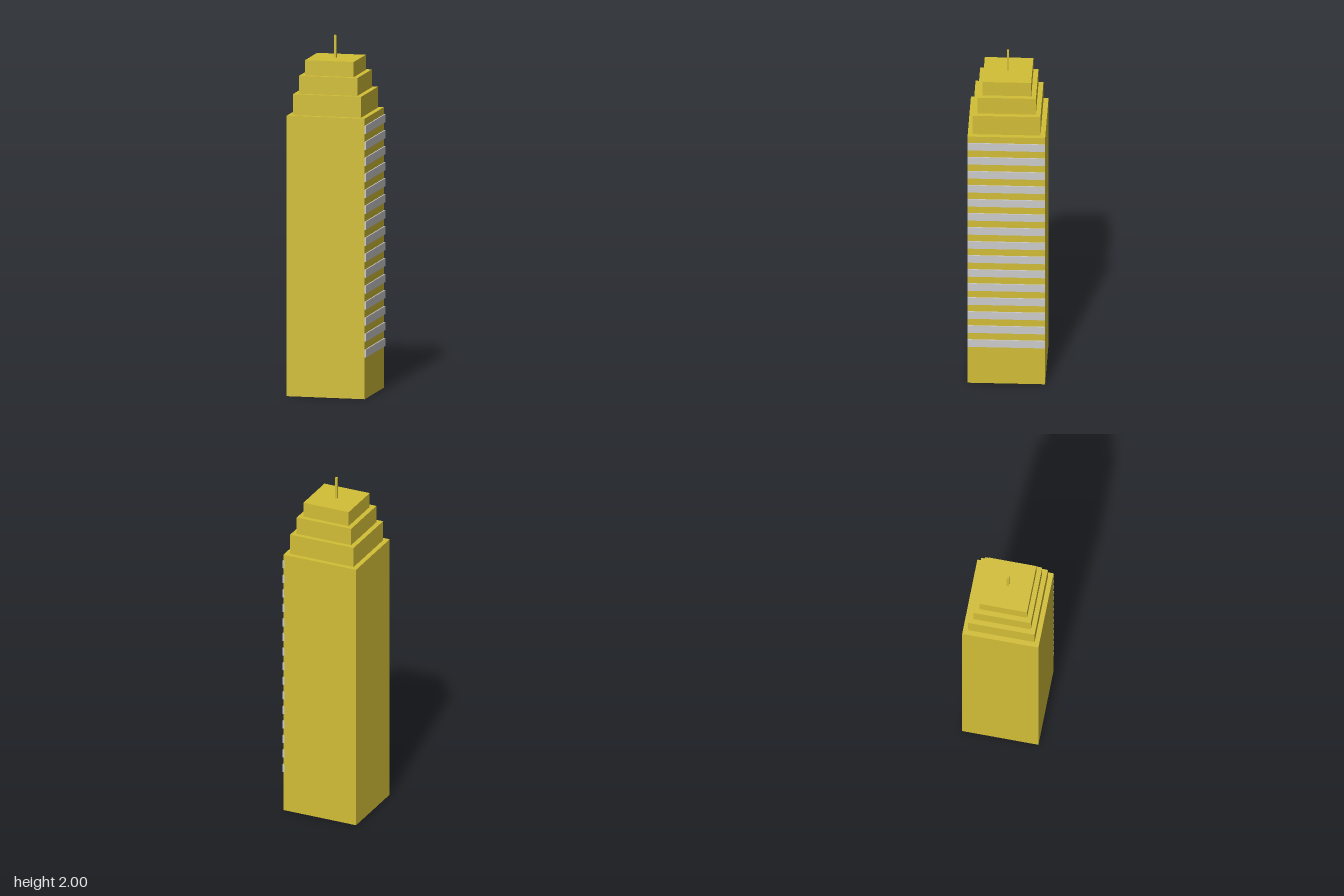
import * as THREE from 'three';

export function createModel() {
  const model = new THREE.Group();
  const gold = new THREE.MeshStandardMaterial({ color: 0xd2be37 });
  const grey = new THREE.MeshStandardMaterial({ color: 0xcccccc });
  const axis = -0.004; // the bands on +x push the tower slightly off centre

  function box(name, w, d, y0, y1, x, material) {
    const mesh = new THREE.Mesh(new THREE.BoxGeometry(w, y1 - y0, d), material);
    mesh.name = name;
    mesh.position.set(x, (y0 + y1) / 2, 0);
    model.add(mesh);
  }

  // Main shaft, stepped crown and mast: width, depth, bottom, top
  box('towerShaft', 0.446, 0.43, 0, 1.572, axis, gold);
  box('lowerCrownTier', 0.39, 0.376, 1.572, 1.689, axis, gold);
  box('middleCrownTier', 0.334, 0.323, 1.689, 1.789, axis, gold);
  box('upperCrownTier', 0.278, 0.269, 1.789, 1.874, axis, gold);
  box('mast', 0.013, 0.013, 1.874, 2, axis, gold);

  // Window bands up the left side
  const bands = 15, pitch = 0.0896, bandHeight = 0.045;
  for (let i = 0; i < bands; i++) {
    const y = 0.233 + i * pitch;
    box('windowBand' + (i + 1), 0.014, 0.43, y, y + bandHeight, 0.219, grey);
  }
  return model;
}
